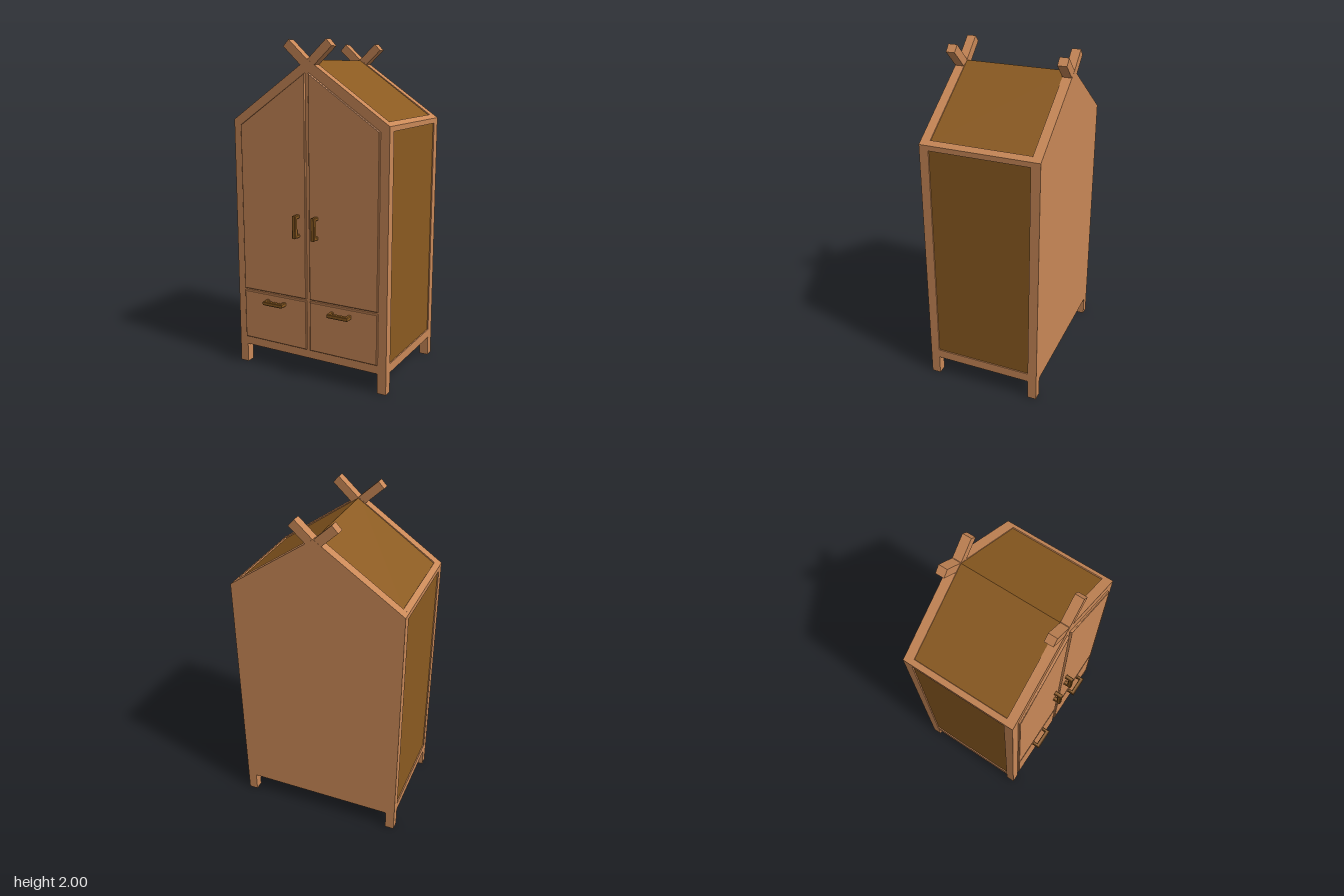
import * as THREE from 'three';

export function createModel() {
  const group = new THREE.Group();
  const tan = new THREE.MeshStandardMaterial({ color: 0xc98857 });
  tan.name = 'light wood';
  const brown = new THREE.MeshStandardMaterial({ color: 0x8b5a20 });
  brown.name = 'dark wood';

  const add = (name, geometry, material) => {
    const mesh = new THREE.Mesh(geometry, material);
    mesh.name = name;
    group.add(mesh);
    return mesh;
  };
  const box = (name, x0, x1, y0, y1, z0, z1, material) =>
    add(name, new THREE.BoxGeometry(x1 - x0, y1 - y0, z1 - z0), material)
      .position.set((x0 + x1) / 2, (y0 + y1) / 2, (z0 + z1) / 2);
  // Prism of an xy outline between two z values, optionally with chamfered front and back edges
  const prism = (points, z0, z1, bevel = 0) => {
    const shape = new THREE.Shape(points.map(([x, y]) => new THREE.Vector2(x, y)));
    return new THREE.ExtrudeGeometry(shape, {
      depth: z1 - z0 - 2 * bevel, bevelEnabled: bevel > 0, bevelSegments: 1,
      bevelSize: bevel, bevelThickness: bevel, bevelOffset: -bevel,
    }).translate(0, 0, z0 + bevel);
  };
  const house = (w, bottom, eave, ridge) =>
    [[-w, bottom], [w, bottom], [w, eave], [0, ridge], [-w, eave]];

  const BACK = -0.382, FRONT = 0.32, T = 0.055, W = 0.51;

  // Front and back gable walls
  add('backWall', prism(house(W, 0.12, 1.54, 1.891), BACK, BACK + T), tan);
  add('frontWall', prism(house(W, 0.12, 1.54, 1.891), FRONT - T, FRONT), tan);

  // Slightly recessed side and roof panels, and the floor
  add('sideAndRoofPanels',
    prism(house(W - 0.007, 0.14, 1.536, 1.885), BACK + 0.03, FRONT - 0.03), brown);
  box('floor', -W, W, 0.12, 0.175, BACK + T, FRONT - T, tan);

  for (const s of [1, -1]) {
    const side = s > 0 ? 'left' : 'right';
    const mirror = pts => pts.map(([x, y]) => [s * x, y]);

    // Eave rail
    add(side + 'EaveRail',
      prism(mirror([[0.45, 1.51], [W, 1.51], [W, 1.54], [0.48, 1.561]]), BACK + T, FRONT - T), tan);

    // Legs and crossed rafter ends, front and back
    for (const [end, z0, tipX, tipY] of [['Front', FRONT - T, 0.1385, 1.98], ['Back', BACK, 0.121, 1.964]]) {
      box(side + end + 'Leg', s > 0 ? W - T : -W, s > 0 ? W : T - W, 0, 0.12, z0, z0 + T, tan);
      const angle = 0.742, length = 0.18;
      const rafter = add(side + end + 'RafterEnd',
        new THREE.BoxGeometry(length, 0.052, T - (s > 0 ? 0.001 : 0.002)), tan);
      rafter.position.set(s * (tipX - Math.cos(angle) * length / 2),
        tipY - Math.sin(angle) * length / 2, z0 + T / 2);
      rafter.rotation.z = s * angle;
    }

    // Door and drawer fronts
    add(side + 'Door',
      prism(mirror([[0.012, 0.495], [0.457, 0.495], [0.457, 1.51], [0.012, 1.815]]),
        FRONT - 0.004, 0.333, 0.004), tan);
    add(side + 'Drawer',
      prism(mirror([[0.012, 0.175], [0.457, 0.175], [0.457, 0.482], [0.012, 0.482]]),
        FRONT - 0.004, 0.333, 0.004), tan);

    // U-shaped pulls: upright on the door, level on the drawer
    const pull = () => prism([[-0.068, -0.052], [-0.048, -0.052], [-0.048, -0.025], [0.048, -0.025],
      [0.048, -0.052], [0.068, -0.052], [0.068, 0], [-0.068, 0]], -0.0125, 0.0125, 0.004)
      .rotateX(Math.PI / 2);
    const doorPull = add(side + 'DoorHandle', pull().rotateZ(Math.PI / 2), brown);
    doorPull.position.set(s * 0.0625, 0.937, 0.382);
    const drawerPull = add(side + 'DrawerHandle', pull(), brown);
    drawerPull.position.set(s * 0.223, 0.437, 0.382);
  }
  return group;
}
